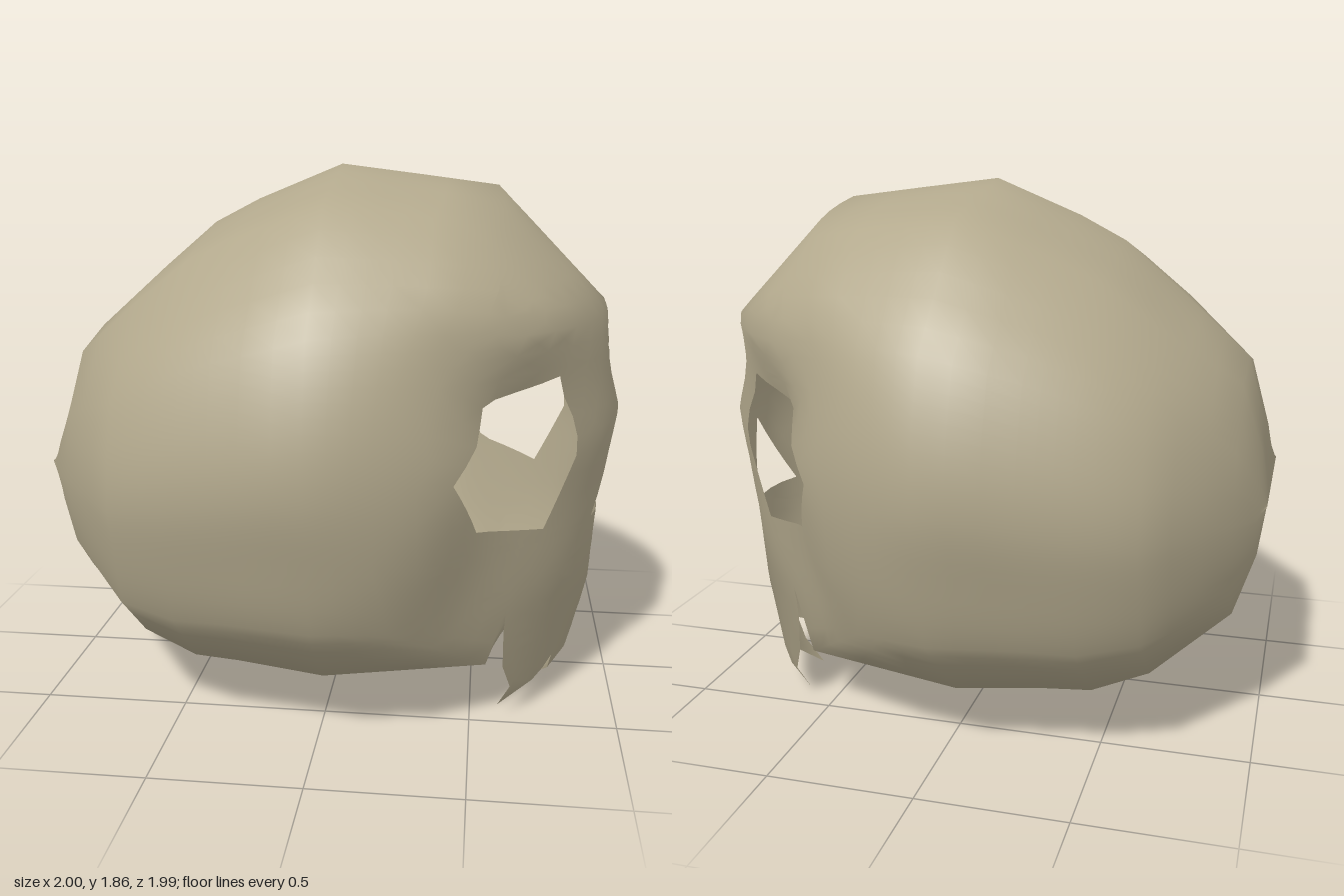
import * as THREE from 'three';
import { mergeGeometries, mergeVertices } from 'three/addons/utils/BufferGeometryUtils.js';

const SPAN = 5;          // samples between neighbouring ring points
const STEPS = 3;         // rows between neighbouring rings
const MAX_EDGE = 0.1;    // longest edge allowed on the face

// Face by height: [height, centre-line x, sideways curvature, change of slope past the eye]
const PROFILE = [
  [0, 0.69, 0.85, 0], [0.03, 0.76, 0.87, 0], [0.1, 0.85, 1, 0], [0.36, 0.92, 1.3, -0.5],
  [0.65, 0.94, 1.17, -0.85], [1.02, 1, 1.17, -0.85], [1.17, 0.96, 1.17, -0.85],
  [1.39, 0.94, 0.7, 0.6], [1.79, 0.55, 0.7, 0.6], [1.95, 0.38, 0.7, 0.6],
];

// Forward position of the face at any (z, y)
function faceX(z, y) {
  let i = 1;
  while (i < PROFILE.length - 1 && PROFILE[i][0] < y) i++;
  const lo = PROFILE[i - 1], hi = PROFILE[i];
  const t = (y - lo[0]) / (hi[0] - lo[0]);
  const [, x, curve, slope] = lo.map((v, j) => v + (hi[j] - v) * t);
  return x - curve * z * z - slope * Math.max(0, Math.abs(z) - 0.6);
}

// Mirrors half a ring (top to bottom on the +z side) into a full loop
function mirrorRing(half) {
  const other = half.slice(1, -1).reverse().map((p) => new THREE.Vector3(p.x, p.y, -p.z));
  return [...half, ...other];
}

// Adds evenly spaced points along each straight side of a ring
function sampleRing(points) {
  return points.flatMap((p, i) => Array.from({ length: SPAN },
    (_, k) => p.clone().lerp(points[(i + 1) % points.length], k / SPAN)));
}

// Rim where the face meets the cranium: [z, y]
const RIM = [
  [0, 1.79], [0.45, 1.68], [0.73, 1.38], [0.84, 1.13], [0.87, 0.91],
  [0.83, 0.66], [0.74, 0.47], [0.49, 0.45], [0.25, 0.45], [0, 0.45],
];
// Ring just behind the rim, dipping under the jaw: [x, y, z]
const FRONT_RING = [
  [0.28, 1.825, 0], [0.26, 1.72, 0.49], [0.22, 1.39, 0.82], [0.2, 1.15, 0.91], [0.2, 0.91, 0.93],
  [0.2, 0.66, 0.89], [0.25, 0.44, 0.81], [0.55, 0.21, 0.5], [0.55, 0.2, 0.27], [0.53, 0.2, 0],
];
// Widest ring of the cranium: [z, y]
const WIDE_RING = [
  [0, 1.86], [0.52, 1.75], [0.89, 1.38], [0.96, 1.17], [0.995, 0.92],
  [0.92, 0.67], [0.87, 0.45], [0.55, 0.16], [0.28, 0.15], [0, 0.13],
];
// Rings behind it, as scaled copies: [x, centre y, z scale, y scale]
const BACK_RINGS = [
  [-0.3, 0.945, 0.93, 0.915], [-0.46, 0.905, 0.885, 0.865], [-0.65, 0.86, 0.81, 0.73],
  [-0.9, 0.835, 0.47, 0.5], [-0.97, 0.81, 0.37, 0.23], [-1, 0.83, 0.33, 0],
];

function meshFrom(positions) {
  const geometry = new THREE.BufferGeometry();
  geometry.setAttribute('position', new THREE.Float32BufferAttribute(positions, 3));
  return geometry;
}

function craniumGeometry(rim) {
  const wide = WIDE_RING.map(([z, y]) => new THREE.Vector3(0, y, z));
  const rings = [rim, sampleRing(mirrorRing(FRONT_RING.map((p) => new THREE.Vector3(...p)))),
    sampleRing(mirrorRing(wide))];
  for (const [x, cy, sz, sy] of BACK_RINGS) {
    rings.push(sampleRing(mirrorRing(wide.map((p) => new THREE.Vector3(x, cy + (p.y - 0.995) * sy, p.z * sz)))));
  }
  const n = rim.length, rows = (rings.length - 1) * STEPS, positions = [];
  const at = (row, k) => {
    const r = Math.floor(row / STEPS), t = (row % STEPS) / STEPS;
    const p = rings[r][k % n];
    return t ? p.clone().lerp(rings[r + 1][k % n], t) : p;
  };
  for (let r = 0; r < rows; r++) {
    for (let k = 0; k < n; k++) {
      const a = at(r, k), b = at(r, k + 1), c = at(r + 1, k), d = at(r + 1, k + 1);
      for (const p of [a, c, b, b, c, d]) positions.push(p.x, p.y, p.z);
    }
  }
  return meshFrom(positions);
}

// Eye and nose openings and the toothed jaw edge: [z, y]
const EYE = [[0.36, 0.92], [0.42, 1.2], [0.65, 1.14], [0.77, 0.92], [0.64, 0.73], [0.43, 0.68]];
const NOSE = [[0, 0.93], [0.165, 0.645], [-0.165, 0.645]];
const TEETH = [[0.49, 0.2], [0.435, 0.03], [0.275, 0.155], [0.16, 0], [0, 0.1]];

function faceGeometry(rim) {
  const flat = (list) => list.map(([z, y]) => new THREE.Vector2(-z, y));
  const flip = (list) => list.map(([z, y]) => [-z, y]);
  const n = rim.length, outline = [];
  // Around the rim from one jaw corner over the top to the other
  for (let k = 11 * SPAN; k <= n + 7 * SPAN; k++) {
    const p = rim[k % n];
    outline.push(new THREE.Vector2(-p.z, p.y));
  }
  outline.push(...flat(TEETH), ...flat(flip(TEETH.slice(0, -1))).reverse());
  const shape = new THREE.Shape(outline);
  for (const hole of [EYE, flip(EYE), NOSE]) shape.holes.push(new THREE.Path(flat(hole)));

  // Split long edges so the flat sheet can be bent
  const sheet = new THREE.ShapeGeometry(shape).toNonIndexed().attributes.position;
  const positions = [];
  const split = (tri) => {
    const lengths = tri.map((p, i) => p.distanceTo(tri[(i + 1) % 3]));
    const i = lengths.indexOf(Math.max(...lengths));
    const [a, b, c] = [tri[i], tri[(i + 1) % 3], tri[(i + 2) % 3]];
    if (lengths[i] > MAX_EDGE) {
      const m = a.clone().add(b).multiplyScalar(0.5);
      split([a, m, c]);
      split([m, b, c]);
    } else {
      for (const p of tri) positions.push(faceX(p.x, p.y), p.y, -p.x);
    }
  };
  for (let i = 0; i < sheet.count; i += 3) {
    split([0, 1, 2].map((j) => new THREE.Vector2(sheet.getX(i + j), sheet.getY(i + j))));
  }
  return meshFrom(positions);
}

// Averages each normal with its neighbours for soft shading over the coarse form
function softenNormals(geometry, radius) {
  geometry.computeVertexNormals();
  const { position, normal } = geometry.attributes;
  const read = (attribute) => Array.from({ length: attribute.count },
    (_, i) => new THREE.Vector3().fromBufferAttribute(attribute, i));
  const points = read(position), normals = read(normal);
  points.forEach((p, i) => {
    const sum = normals[i].clone().multiplyScalar(0.01);
    points.forEach((q, j) => {
      const weight = 1 - p.distanceTo(q) / radius;
      if (weight > 0 && normals[i].dot(normals[j]) > 0.6) sum.addScaledVector(normals[j], weight);
    });
    sum.normalize();
    normal.setXYZ(i, sum.x, sum.y, sum.z);
  });
}

export function createModel() {
  const bone = new THREE.MeshStandardMaterial({ color: 0xb3a98d, side: THREE.DoubleSide });
  bone.name = 'bone';

  // The rim follows the face; its lower run, the palate, sits just behind the jaw
  const rim = sampleRing(mirrorRing(RIM.map(([z, y]) => new THREE.Vector3(0, y, z))));
  rim.forEach((p, k) => {
    p.x = faceX(p.z, p.y) - (k > 7 * SPAN && k < 11 * SPAN ? 0.02 : 0);
  });

  // Face and cranium welded into one smooth hollow shell
  const shell = mergeVertices(mergeGeometries([craniumGeometry(rim), faceGeometry(rim)]), 1e-4);
  softenNormals(shell, 0.25);
  const skull = new THREE.Mesh(shell, bone);
  skull.name = 'skullShell';

  const group = new THREE.Group();
  group.name = 'skull';
  group.add(skull);
  return group;
}
